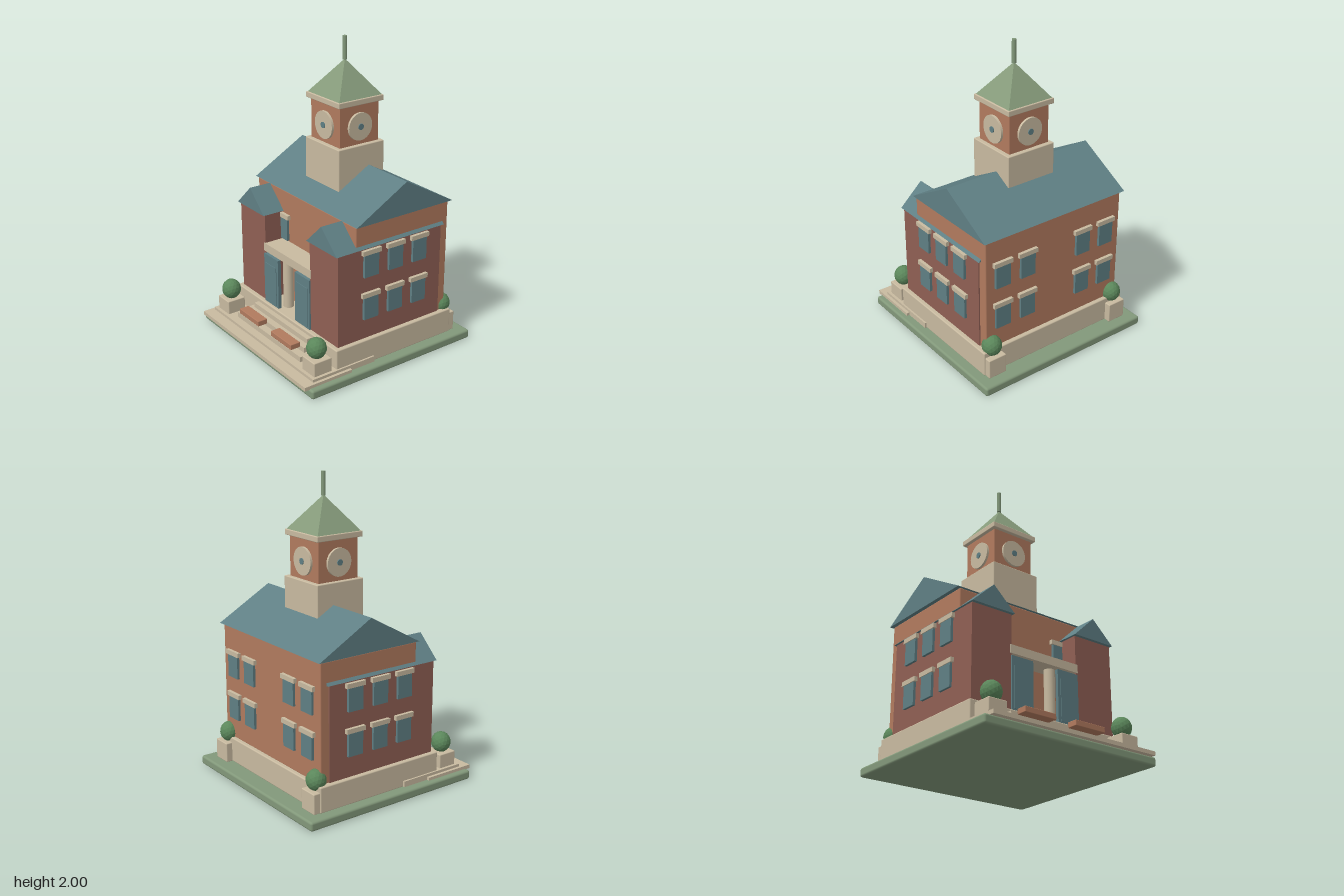
import * as THREE from 'three';
import { RoundedBoxGeometry } from 'three/addons/geometries/RoundedBoxGeometry.js';

const mat = (name, color, flatShading = false) => {
  const m = new THREE.MeshStandardMaterial({ color, flatShading });
  m.name = name;
  return m;
};

export function createModel() {
  const model = new THREE.Group();
  model.name = 'townHall';

  const stone = mat('stone', 0xc8baa0);
  const brick = mat('brick', 0xb17a5e);
  const darkBrick = mat('darkBrick', 0x8f5f54);
  const teal = mat('slateTeal', 0x5f7f84);
  const green = mat('copperGreen', 0x869b7b, true);
  const lawn = mat('lawnGreen', 0x82987a);
  const leaf = mat('foliage', 0x5b875b, true);

  const add = (name, geo, material, x = 0, y = 0, z = 0, parent = model) => {
    const mesh = new THREE.Mesh(geo, material);
    mesh.name = name;
    mesh.position.set(x, y, z);
    parent.add(mesh);
    return mesh;
  };

  // Box given by its min and max on each axis, with optional rounded edges
  const box = (name, material, x0, x1, y0, y1, z0, z1, r = 0) => {
    const w = x1 - x0, h = y1 - y0, d = z1 - z0;
    const geo = r ? new RoundedBoxGeometry(w, h, d, 2, r) : new THREE.BoxGeometry(w, h, d);
    return add(name, geo, material, (x0 + x1) / 2, (y0 + y1) / 2, (z0 + z1) / 2);
  };

  // Gable roof with its ridge along local z
  const gable = (halfWidth, height, length) => {
    const s = new THREE.Shape();
    s.moveTo(-halfWidth, 0);
    s.lineTo(halfWidth, 0);
    s.lineTo(0, height);
    s.closePath();
    return new THREE.ExtrudeGeometry(s, { depth: length, bevelEnabled: false })
      .translate(0, 0, -length / 2);
  };

  // Window with its lintel, facing along the given angle about y
  const windowUnit = (x, y, z, angle) => {
    const g = new THREE.Group();
    g.name = 'window';
    g.position.set(x, y, z);
    g.rotation.y = angle;
    add('pane', new THREE.BoxGeometry(0.11, 0.15, 0.03), teal, 0, 0.075, 0, g);
    add('lintel', new THREE.BoxGeometry(0.14, 0.03, 0.04), stone, 0, 0.165, 0, g);
    model.add(g);
  };

  // Grounds and paving
  box('lawn', lawn, -0.637, 0.637, 0, 0.06, -0.655, 0.62, 0.015);
  box('plaza', stone, -0.6, 0.6, 0.055, 0.08, 0.295, 0.65);
  box('terrace', stone, -0.58, 0.58, 0.058, 0.098, 0.105, 0.575);
  box('foundation', stone, -0.568, 0.568, 0.058, 0.225, -0.537, 0.39, 0.008);

  // Front steps
  for (const [w, y, z] of [[0.365, 0.133, 0.52], [0.335, 0.167, 0.47], [0.305, 0.2, 0.425]])
    box('step', stone, -w, w, 0.08, y, 0.36, z);

  // Main block and roof
  box('mainBlock', brick, -0.532, 0.532, 0.22, 0.985, -0.51, 0.222, 0.008);
  const roof = add('mainRoof', gable(0.38, 0.212, 1.1), teal, 0, 0.988, -0.15);
  roof.rotation.y = Math.PI / 2;

  for (const s of [-1, 1]) {
    const range = (a, b) => (s > 0 ? [a, b] : [-b, -a]);

    // Side wing, its roof and side windows
    box('wing', darkBrick, ...range(0.25, 0.54), 0.222, 0.835, -0.45, 0.36);
    add('wingRoof', gable(0.156, 0.147, 0.845), teal, s * 0.394, 0.838, -0.045);
    for (const y of [0.362, 0.648]) {
      for (const z of [0.116, -0.074, -0.265]) windowUnit(s * 0.542, y, z, s * Math.PI / 2);
      // Back windows
      for (const x of [0.22, 0.41]) windowUnit(s * x, y, -0.512, Math.PI);
    }
    // Upper front window
    windowUnit(s * 0.232, 0.648, 0.224, 0);

    // Entrance door and column
    box('door', teal, ...range(0.095, 0.255), 0.222, 0.57, 0.347, 0.37);
    box('doorPanel', teal, ...range(0.115, 0.24), 0.24, 0.51, 0.37, 0.374);
    add('column', new THREE.CylinderGeometry(0.034, 0.034, 0.37, 20), stone, s * 0.095, 0.405, 0.29);

    // Bench
    box('bench', brick, ...range(0.073, 0.3), 0.16, 0.196, 0.475, 0.545, 0.004);

    // Corner planters with shrubs
    for (const z of [0.487, -0.515]) {
      box('planter', stone, ...range(0.43, 0.56), z > 0 ? 0.09 : 0.058, 0.19, z - 0.065, z + 0.065, 0.006);
      const shrub = add('shrub', new THREE.IcosahedronGeometry(0.064, 2), leaf, s * 0.493, 0.248, z);
      shrub.scale.y = 1.07;
    }
  }

  // Entrance canopy
  box('canopy', stone, -0.262, 0.262, 0.585, 0.64, 0.21, 0.365);

  // Clock tower
  const tz = -0.093;
  box('towerBase', stone, -0.178, 0.178, 0.98, 1.34, tz - 0.178, tz + 0.178, 0.006);
  box('towerShaft', brick, -0.15, 0.15, 1.335, 1.605, tz - 0.15, tz + 0.15);
  box('towerCornice', stone, -0.174, 0.174, 1.6, 1.637, tz - 0.174, tz + 0.174, 0.005);
  const spire = add('spire', new THREE.ConeGeometry(0.233, 0.218, 4), green, 0, 1.746, tz);
  spire.rotation.y = Math.PI / 4;
  add('finial', new THREE.CylinderGeometry(0.014, 0.014, 0.15, 16), lawn, 0, 1.925, tz);

  // One clock on each tower face
  const dial = new THREE.CylinderGeometry(0.09, 0.09, 0.02, 32).rotateX(Math.PI / 2);
  const hub = new THREE.CylinderGeometry(0.02, 0.02, 0.012, 16).rotateX(Math.PI / 2);
  for (let i = 0; i < 4; i++) {
    const clock = new THREE.Group();
    clock.name = 'clock';
    clock.position.set(0, 1.458, tz);
    clock.rotation.y = i * Math.PI / 2;
    add('dial', dial, stone, 0, 0, 0.156, clock);
    add('hub', hub, teal, 0, 0, 0.166, clock);
    model.add(clock);
  }

  return model;
}
